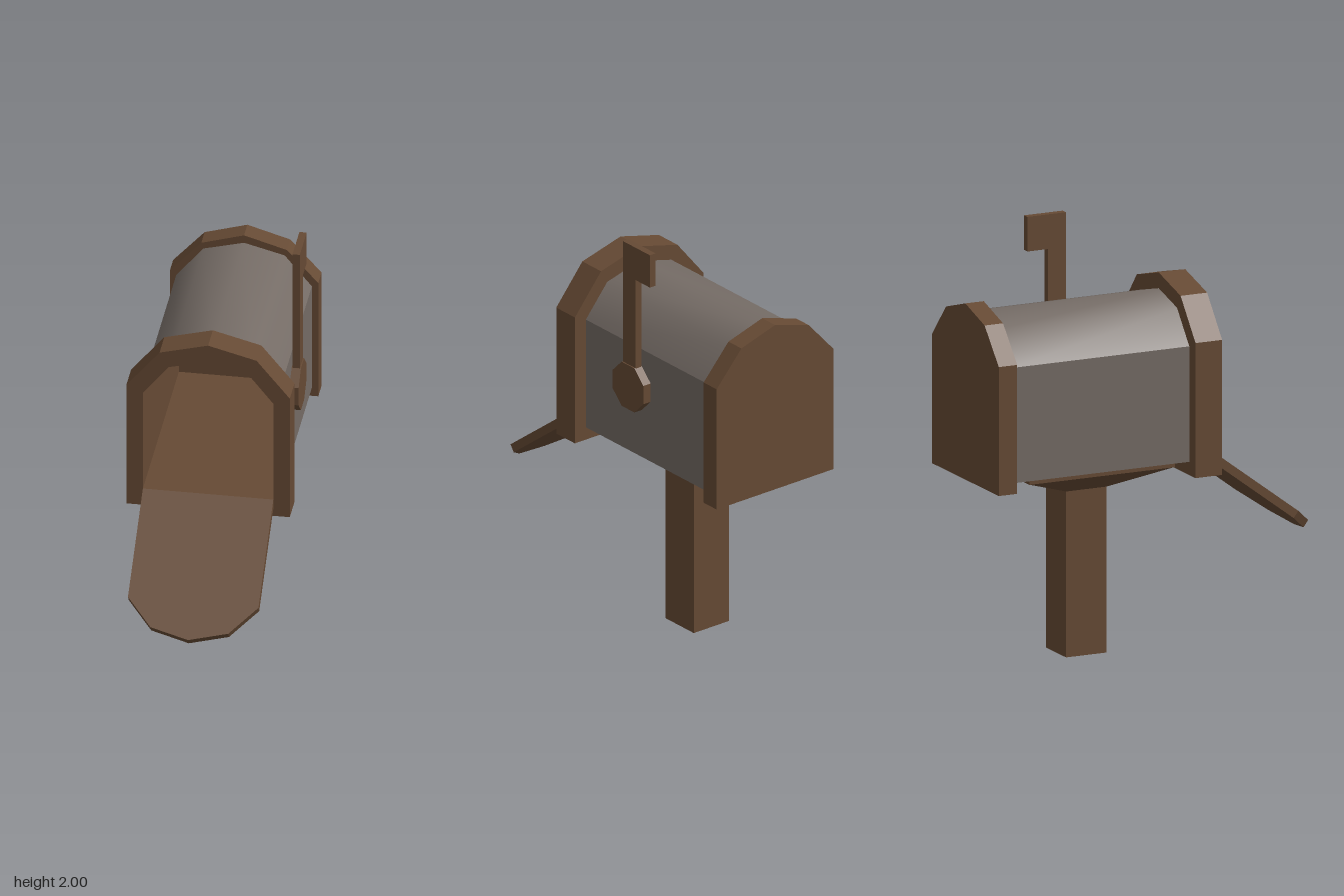
import * as THREE from 'three';

const wood = new THREE.MeshStandardMaterial({ color: 0x664a34 });
wood.name = 'brown wood';
const woodInside = wood;
const metal = new THREE.MeshStandardMaterial({ color: 0x746b65, side: THREE.DoubleSide });
metal.name = 'grey metal';
woodInside.side = THREE.DoubleSide;

// Five-point arch outline standing on a flat base
function archPoints(half, base, spring, shoulderX, shoulderY, top) {
  return [
    [half, base], [half, spring], [shoulderX, shoulderY], [0, top],
    [-shoulderX, shoulderY], [-half, spring], [-half, base],
  ].map(([x, y]) => new THREE.Vector2(x, y));
}

function extrude(points, depth, holePoints) {
  const shape = new THREE.Shape(points);
  if (holePoints) shape.holes.push(new THREE.Path(holePoints));
  return new THREE.ExtrudeGeometry(shape, { depth, bevelEnabled: false });
}

// Sheet swept along z from an open cross-section
function sheet(points, z0, z1, smooth) {
  const pos = [];
  const index = [];
  points.forEach((p, i) => {
    pos.push(p.x, p.y, z0, p.x, p.y, z1);
    if (i > 0) {
      const a = 2 * (i - 1);
      index.push(a, a + 1, a + 2, a + 1, a + 3, a + 2);
    }
  });
  let g = new THREE.BufferGeometry();
  g.setAttribute('position', new THREE.Float32BufferAttribute(pos, 3));
  g.setIndex(index);
  if (!smooth) g = g.toNonIndexed();
  g.computeVertexNormals();
  return g;
}

export function createModel() {
  const model = new THREE.Group();
  model.name = 'mailbox';
  const box = new THREE.Group();
  box.name = 'turnedMailbox';
  box.position.set(0.105, 0, -0.175);
  box.rotation.y = -0.6135;
  model.add(box);

  function add(name, geometry, material, x = 0, y = 0, z = 0) {
    const mesh = new THREE.Mesh(geometry, material);
    mesh.name = name;
    mesh.position.set(x, y, z);
    box.add(mesh);
    return mesh;
  }

  // Post and flared bracket under the box
  add('post', new THREE.BoxGeometry(0.208, 0.79, 0.208), wood, 0, 0.395, 0);
  const flare = new THREE.BoxGeometry(0.536, 0.1, 0.75).toNonIndexed();
  const p = flare.attributes.position;
  for (let i = 0; i < p.count; i++) {
    if (p.getY(i) < 0) {
      p.setX(i, Math.sign(p.getX(i)) * 0.104);
      p.setZ(i, Math.sign(p.getZ(i)) * 0.104);
    }
  }
  flare.computeVertexNormals();
  add('bracket', flare, wood, 0, 0.84, 0);
  add('bracketPlate', new THREE.BoxGeometry(0.536, 0.03, 0.75), wood, 0, 0.904, 0);

  // Metal shell: flat walls and floor, smooth dome
  const shell = archPoints(0.317, 0.92, 1.47, 0.19, 1.625, 1.675);
  const [z0, z1] = [-0.5, 0.45];
  add('leftWall', sheet(shell.slice(0, 2), z0, z1), metal);
  add('dome', sheet(shell.slice(1, 6), z0, z1, true), metal);
  add('rightWall', sheet(shell.slice(5, 7), z0, z1), metal);
  add('floor', sheet([shell[6], shell[0]], z0, z1), metal);

  // Wooden lining and end pieces
  const opening = archPoints(0.305, 0.945, 1.465, 0.185, 1.615, 1.663);
  add('lining', sheet([...opening, opening[0]], z0, z1), woodInside);
  add('frontFrame',
    extrude(archPoints(0.382, 0.857, 1.5, 0.227, 1.69, 1.75), 0.137, opening),
    wood, 0, 0, 0.425);
  add('backPanel',
    extrude(archPoints(0.347, 0.876, 1.49, 0.2, 1.655, 1.715), 0.095),
    wood, 0, 0, -0.572);

  // Door hanging open from the foot of the frame
  const door = add('door',
    extrude(archPoints(0.305, 0, 0.54, 0.182, 0.68, 0.728), 0.04),
    wood, 0, 0.945, 0.562);
  door.rotation.x = THREE.MathUtils.degToRad(127);

  // Signal flag on the left wall
  const disc = new THREE.CylinderGeometry(0.122, 0.122, 0.045, 8).toNonIndexed();
  disc.rotateY(Math.PI / 8);
  disc.rotateZ(Math.PI / 2);
  disc.computeVertexNormals();
  add('flagPivot', disc, wood, 0.338, 1.272, 0.062);
  add('flagStem', new THREE.BoxGeometry(0.034, 0.7, 0.094), wood, 0.338, 1.65, 0.06);
  add('flagBanner', new THREE.BoxGeometry(0.034, 0.165, 0.105), wood, 0.338, 1.9175, -0.0395);

  return model;
}
